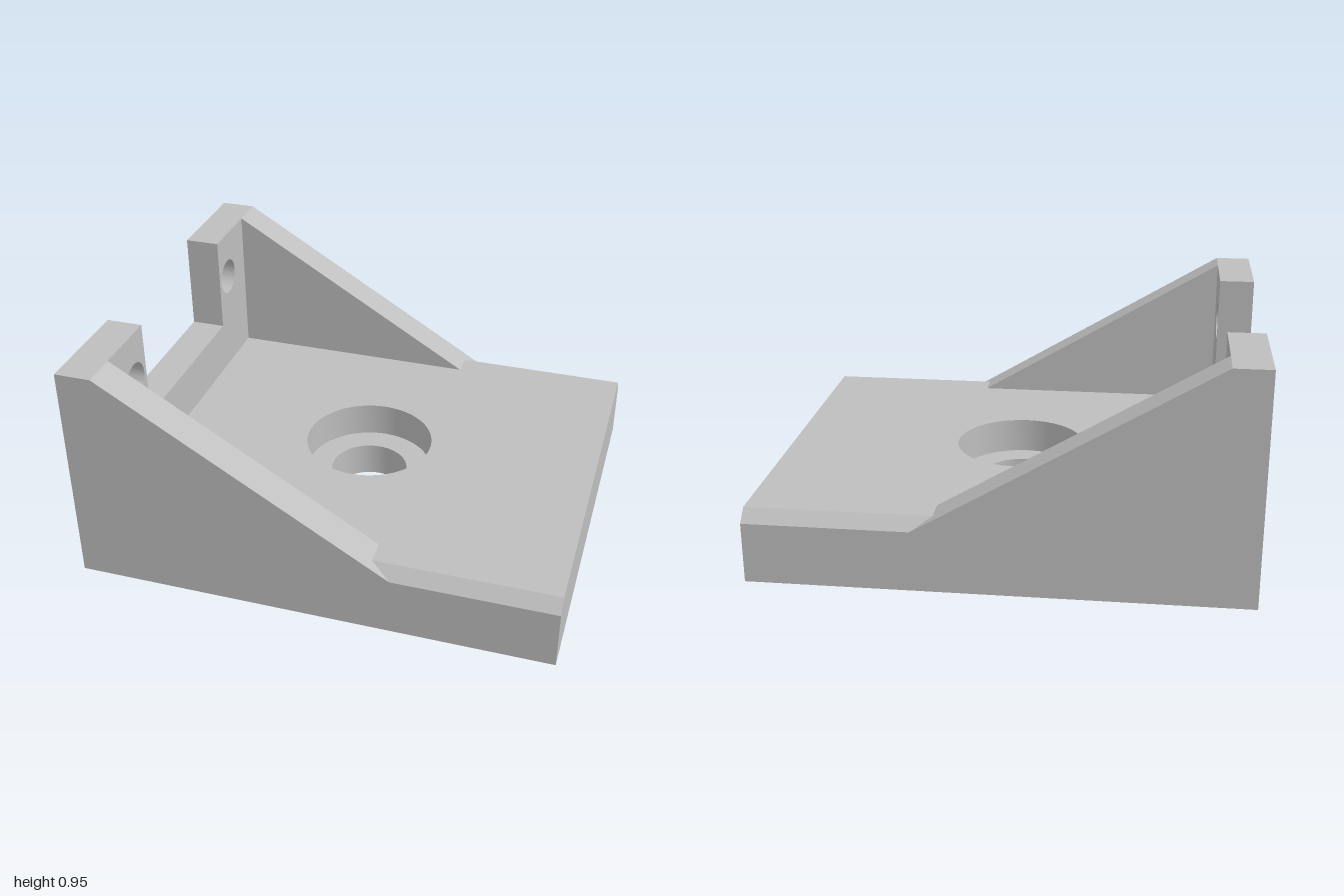
import * as THREE from 'three';
import { toCreasedNormals } from 'three/addons/utils/BufferGeometryUtils.js';

const grey = new THREE.MeshStandardMaterial({ color: 0xbebebe });
grey.name = 'plain grey';

const TOP = 0.3;      // floor height
const HEIGHT = 0.955; // back wall height
const HALF = 0.85;    // half width
const INNER = 0.7;    // inner face of the side cheeks
const WALL = -0.85;   // inner face of the back wall

function polygon(points) {
  return new THREE.Shape(points.map(([x, y]) => new THREE.Vector2(x, y)));
}

function punch(shape, x, y, r) {
  const hole = new THREE.Path();
  hole.absarc(x, y, r, 0, Math.PI * 2, true);
  shape.holes.push(hole);
}

function extrude(shape, depth, steps = 1) {
  return new THREE.ExtrudeGeometry(shape, { depth, steps, bevelEnabled: false, curveSegments: 32 });
}

function addPart(group, name, geometry) {
  const mesh = new THREE.Mesh(toCreasedNormals(geometry, 0.5), grey);
  mesh.name = name;
  group.add(mesh);
}

// Sloped side cheek; its outer edge drops to form the chamfer beside the floor
function cheek(side) {
  const geometry = extrude(polygon([
    [-1, 0], [1, 0], [1, TOP], [0.25, TOP], [WALL, HEIGHT], [-1, HEIGHT],
  ]), HALF - INNER, 3);
  geometry.translate(0, 0, side > 0 ? INNER : -HALF);
  const p = geometry.attributes.position;
  for (let i = 0; i < p.count; i++) {
    const outer = Math.abs(p.getZ(i) - side * HALF) < 1e-4;
    if (outer && Math.abs(p.getY(i) - TOP) < 1e-4) {
      p.setY(i, TOP - 0.05);
      if (p.getX(i) < 0.5) p.setX(i, 0.334);
    }
  }
  return geometry;
}

// One layer of the floor with a round bore
function floorLayer(y, depth, radius) {
  const shape = polygon([[WALL, -INNER], [1, -INNER], [1, INNER], [WALL, INNER]]);
  punch(shape, 0, 0, radius);
  return extrude(shape, depth).rotateX(-Math.PI / 2).translate(0, y, 0);
}

// Back wall with a wide notch and two screw holes
function backWall() {
  const shape = polygon([
    [-INNER, 0], [INNER, 0], [INNER, HEIGHT], [0.4, HEIGHT],
    [0.4, 0.527], [-0.4, 0.527], [-0.4, HEIGHT], [-INNER, HEIGHT],
  ]);
  for (const s of [-1, 1]) punch(shape, s * 0.5, 0.743, 0.081);
  return extrude(shape, WALL + 1).rotateY(Math.PI / 2).translate(-1, 0, 0);
}

export function createModel() {
  const group = new THREE.Group();
  group.name = 'mountingBracket';
  addPart(group, 'floorWithThroughHole', floorLayer(0, 0.15, 0.167));
  addPart(group, 'floorWithCounterbore', floorLayer(0.15, 0.15, 0.276));
  addPart(group, 'backWall', backWall());
  addPart(group, 'frontCheek', cheek(1));
  addPart(group, 'rearCheek', cheek(-1));
  return group;
}
